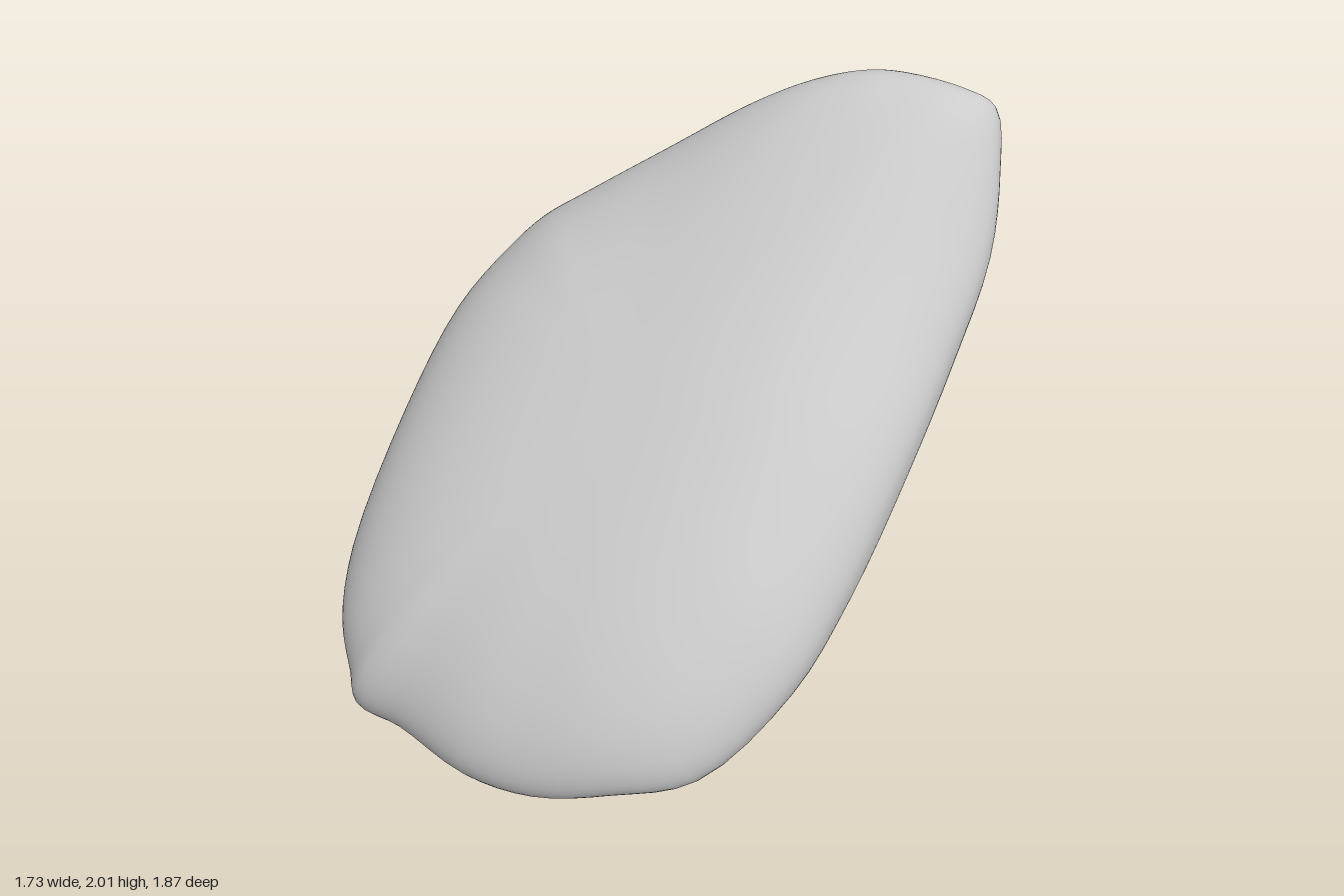
import * as THREE from 'three';
import { mergeVertices } from 'three/addons/utils/BufferGeometryUtils.js';

// Outline of the pad's rim, counter-clockwise seen from the front: x, y, z
const RIM = [
  [-0.58, 0.04, 0.88], [-0.4, 0.035, 0.885], [-0.1, 0.005, 0.92], [0.15, 0.02, 0.89],
  [0.4, 0.1, 0.81], [0.63, 0.18, 0.67], [0.8, 0.44, 0.4], [0.85, 0.7, 0.15],
  [0.86, 1.03, -0.17], [0.845, 1.29, -0.45], [0.82, 1.55, -0.7], [0.76, 1.78, -0.84],
  [0.69, 1.94, -0.92], [0.6, 1.98, -0.9], [0.4, 2, -0.85], [0.28, 1.985, -0.815],
  [0.13, 1.93, -0.755], [-0.05, 1.82, -0.685], [-0.3, 1.62, -0.575], [-0.55, 1.42, -0.44],
  [-0.67, 1.32, -0.36], [-0.76, 1.2, -0.27], [-0.845, 1.02, -0.09], [-0.865, 0.74, 0.2],
  [-0.835, 0.36, 0.56], [-0.75, 0.2, 0.73], [-0.64, 0.1, 0.83],
];
const CENTRE = new THREE.Vector3(0, 1, 0);
const NORMAL = new THREE.Vector3(0, 1, 1).normalize();
const UP_SLOPE = new THREE.Vector3(0, 1, -1).normalize();
const SEGMENTS = 108, RINGS = 56;

// Dome profile at relative radius r: a higher power gives a flatter face and steeper wall
const dome = (r, power) => Math.sqrt(Math.max(0, 1 - r ** power));

function padGeometry() {
  const curve = new THREE.CatmullRomCurve3(
    RIM.map(([x, y, z]) => new THREE.Vector3(x, 1 + (y - 1) * 0.985, z * 0.985)), true);

  // Split each rim point into its place in the pad's plane and its lift off it
  const rim = [];
  for (let i = 0; i < SEGMENTS; i++) {
    const flat = curve.getPoint(i / SEGMENTS).sub(CENTRE);
    const lift = flat.dot(NORMAL);
    flat.addScaledVector(NORMAL, -lift);
    // Thick wall on the +x side, thinner taper towards the top
    const side = Math.max(0, flat.x / flat.length()) ** 2;
    const top = Math.max(0, flat.dot(UP_SLOPE) / flat.length()) ** 2;
    rim.push({ flat, lift, front: 3.3 - 1 * top, back: 2 + 2.3 * side - 0.3 * top });
  }

  // Rings run from the front centre, round the rim, to the back centre
  const positions = [], index = [];
  for (let k = 0; k <= RINGS; k++) {
    const r = k === RINGS ? 0 : Math.sin((k / RINGS) * Math.PI);
    for (const { flat, lift, front, back } of rim) {
      const h = k <= RINGS / 2 ? 0.25 * dome(r, front) : -0.32 * dome(r, back);
      const v = CENTRE.clone().addScaledVector(flat, r).addScaledVector(NORMAL, h + lift * r ** 3);
      positions.push(v.x, v.y, v.z);
    }
  }
  for (let k = 0; k < RINGS; k++) {
    for (let i = 0; i < SEGMENTS; i++) {
      const j = (i + 1) % SEGMENTS;
      const a = k * SEGMENTS + i, d = k * SEGMENTS + j;
      const b = a + SEGMENTS, c = d + SEGMENTS;
      if (k < RINGS - 1) index.push(a, b, c);
      if (k > 0) index.push(a, c, d);
    }
  }
  const geometry = new THREE.BufferGeometry();
  geometry.setAttribute('position', new THREE.Float32BufferAttribute(positions, 3));
  geometry.setIndex(index);
  const merged = mergeVertices(geometry, 1e-5);
  merged.computeVertexNormals();
  return merged;
}

export function createModel() {
  const group = new THREE.Group();
  group.name = 'tiltedPad';
  const pad = new THREE.Mesh(padGeometry(), new THREE.MeshStandardMaterial({ color: 0xcccccc }));
  pad.name = 'pad';
  group.add(pad);
  return group;
}
